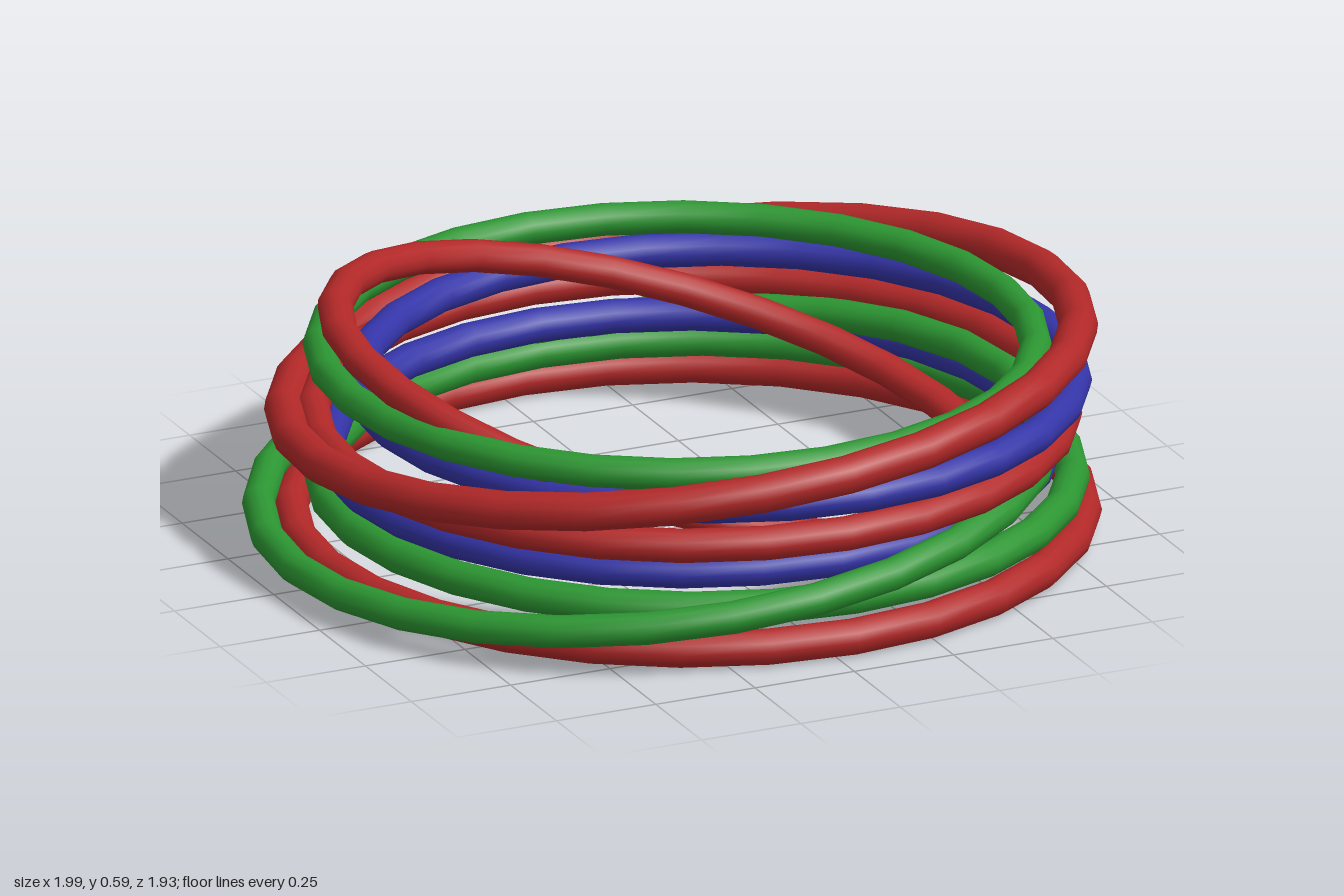
import * as THREE from 'three';

const materials = {
  red: new THREE.MeshStandardMaterial({ color: 0xb22828 }),
  green: new THREE.MeshStandardMaterial({ color: 0x2c9632 }),
  blue: new THREE.MeshStandardMaterial({ color: 0x3434a8 }),
};

// A bangle: slopeX and slopeZ say how much its plane rises along x and z;
// stretch widens it along x.
function bangle({ name, color, centre, radius, tube, slopeX = 0, slopeZ = 0, stretch = 1 }) {
  const geometry = new THREE.TorusGeometry(radius, tube, 12, 28);
  geometry.rotateX(Math.PI / 2);
  geometry.scale(stretch, 1, 1);
  const mesh = new THREE.Mesh(geometry, materials[color]);
  const normal = new THREE.Vector3(-slopeX, 1, -slopeZ).normalize();
  mesh.quaternion.setFromUnitVectors(new THREE.Vector3(0, 1, 0), normal);
  mesh.position.set(...centre);
  mesh.name = name;
  return mesh;
}

export function createModel() {
  const group = new THREE.Group();
  group.name = 'bangleStack';
  const rings = [
    // Level bangles, from the bottom up
    { name: 'bottomRedBangle', color: 'red', centre: [0.045, 0.043, -0.01], radius: 0.907, tube: 0.042 },
    { name: 'lowerGreenBangle', color: 'green', centre: [0.065, 0.125, 0], radius: 0.86, tube: 0.04 },
    { name: 'lowerBlueBangle', color: 'blue', centre: [0.04, 0.206, 0], radius: 0.82, tube: 0.04 },
    { name: 'middleRedBangle', color: 'red', centre: [0.04, 0.287, 0.01], radius: 0.86, tube: 0.04 },
    { name: 'upperBlueBangle', color: 'blue', centre: [0.095, 0.37, 0.04], radius: 0.82, tube: 0.04 },
    { name: 'topGreenBangle', color: 'green', centre: [0.01, 0.453, 0.015], radius: 0.82, tube: 0.038 },
    // Bangles lying askew
    { name: 'leaningGreenBangle', color: 'green', centre: [-0.06, 0.163, 0.025], radius: 0.903, tube: 0.038, slopeX: 0.105 },
    { name: 'leaningRedBangle', color: 'red', centre: [0.027, 0.393, -0.003], radius: 0.915, tube: 0.045, slopeX: 0.1, slopeZ: 0.06 },
    { name: 'innerTiltedRedBangle', color: 'red', centre: [-0.005, 0.323, -0.005], radius: 0.735, tube: 0.038, slopeX: -0.283, slopeZ: -0.11, stretch: 1.1 },
  ];
  for (const ring of rings) group.add(bangle(ring));
  return group;
}
